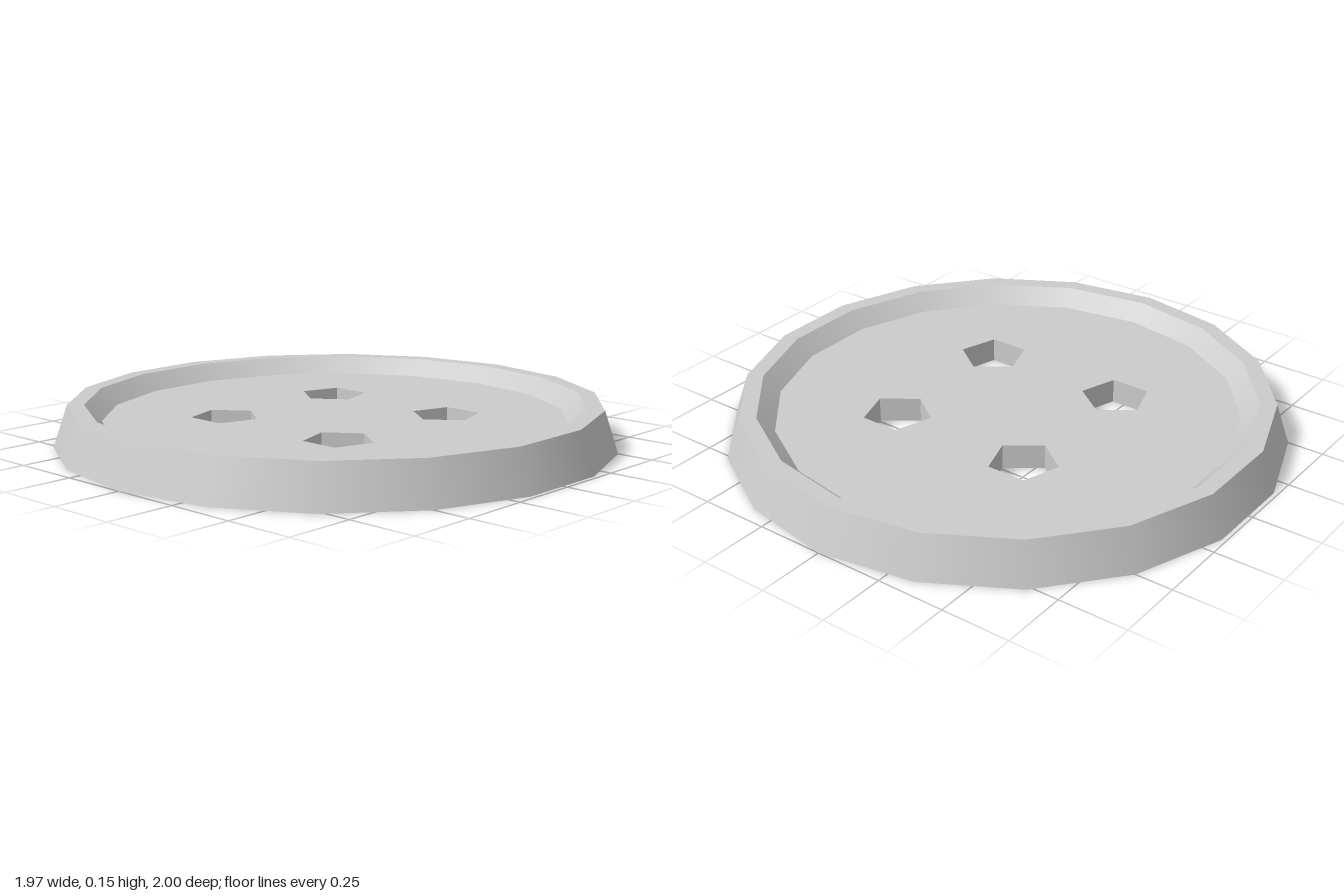
import * as THREE from 'three';

const SIDES = 18;
const FLOOR = 0.09; // height of the recessed floor
const RIM = 0.15; // height of the rim
const HOLE_R = 0.124;
const HOLE_X = 0.276;
const HOLE_Z = 0.28;

export function createModel() {
  const group = new THREE.Group();
  const smooth = new THREE.MeshStandardMaterial({ color: 0xcccccc });
  const flat = new THREE.MeshStandardMaterial({ color: 0xcccccc, flatShading: true });

  const add = (name, geometry, material) => {
    const mesh = new THREE.Mesh(geometry, material);
    mesh.name = name;
    group.add(mesh);
    return mesh;
  };

  // One band of revolution between two [radius, height] points
  const band = (a, b, sides) =>
    new THREE.LatheGeometry([new THREE.Vector2(...a), new THREE.Vector2(...b)], sides);

  // Corners of a regular polygon whose first corner lies along dir * y
  const polygon = (cx, cy, r, sides, dir) =>
    Array.from({ length: sides }, (_, i) => {
      const t = (i / sides) * Math.PI * 2;
      return new THREE.Vector2(cx + r * Math.sin(t), cy + dir * r * Math.cos(t));
    });

  // Disc with four pentagon holes, each pointing towards the middle
  const disc = (radius) => {
    const shape = new THREE.Shape(polygon(0, 0, radius, SIDES, 1));
    for (const sx of [-1, 1])
      for (const sz of [-1, 1])
        shape.holes.push(new THREE.Path(polygon(sx * HOLE_X, sz * HOLE_Z, HOLE_R, 5, -sz)));
    return new THREE.ShapeGeometry(shape);
  };

  // Tapered outer wall, flat rim and sloped inner wall
  add('outerWall', band([1, 0], [0.95, RIM], SIDES), smooth);
  add('rim', band([0.95, RIM], [0.89, RIM], SIDES), flat);
  add('innerWall', band([0.89, RIM], [0.83, FLOOR], SIDES), smooth);

  // Recessed floor and underside
  add('floor', disc(0.83).rotateX(-Math.PI / 2), flat).position.y = FLOOR;
  add('underside', disc(1).rotateX(Math.PI / 2), flat);

  // Inward-facing walls of the thread holes
  for (const sx of [-1, 1])
    for (const sz of [-1, 1]) {
      const wall = add('holeWall', band([HOLE_R, FLOOR], [HOLE_R, 0], 5), flat);
      wall.position.set(sx * HOLE_X, 0, sz * HOLE_Z);
      wall.rotation.y = sz > 0 ? Math.PI : 0;
    }

  return group;
}
